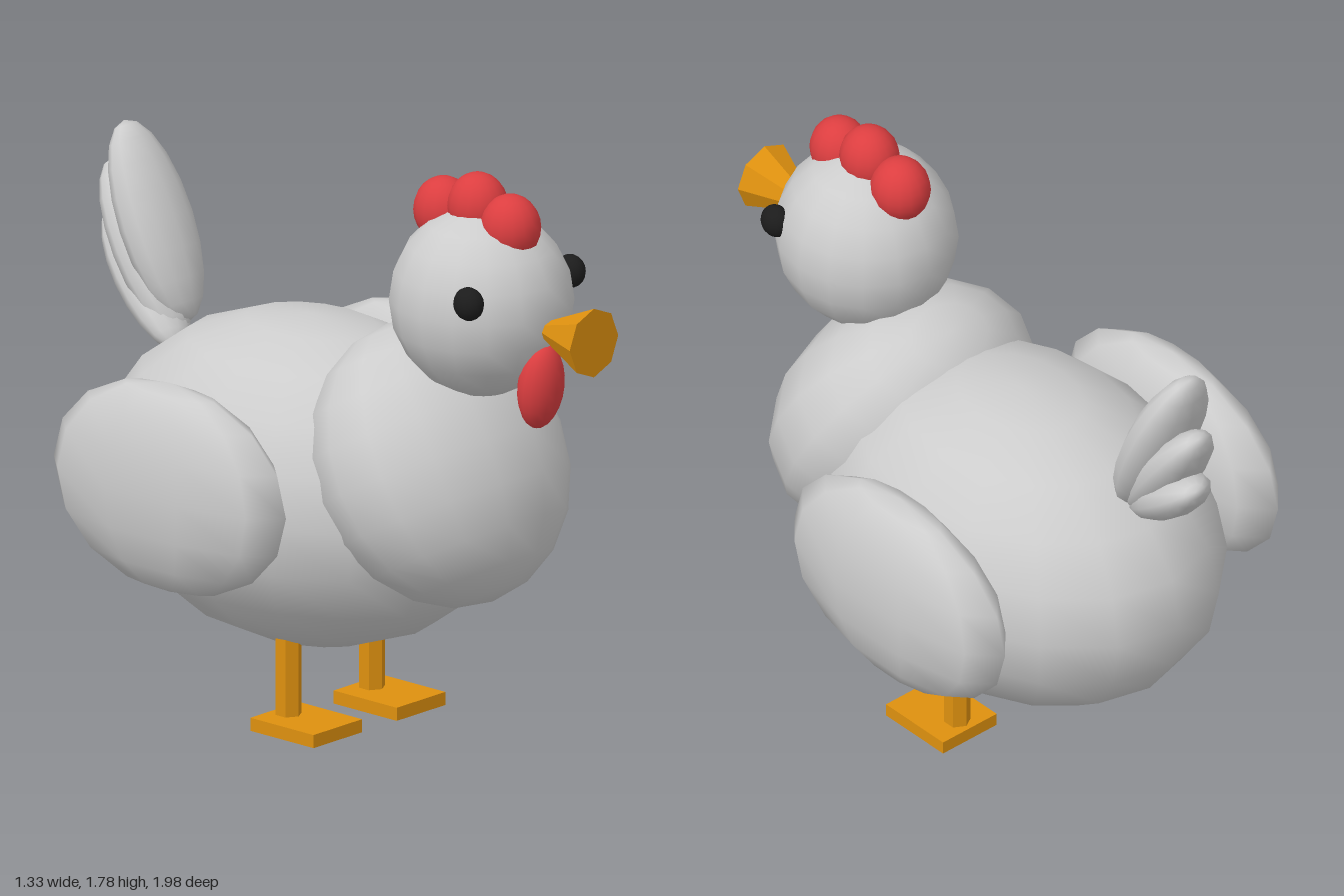
import * as THREE from 'three';

const mat = (name, color, flatShading = false) => {
  const m = new THREE.MeshStandardMaterial({ color, flatShading });
  m.name = name;
  return m;
};

export function createModel() {
  const group = new THREE.Group();
  const feathers = mat('featherGrey', 0xcccccc);
  const red = mat('combRed', 0xdc3e40);
  const orange = mat('beakOrange', 0xdd900f, true);
  const black = mat('eyeBlack', 0x1c1c1c);

  const add = (name, geometry, material, pos, rot = [0, 0, 0]) => {
    const mesh = new THREE.Mesh(geometry, material);
    mesh.name = name;
    mesh.position.set(...pos);
    mesh.rotation.set(...rot);
    group.add(mesh);
    return mesh;
  };
  // Low-poly ellipsoid given by its half sizes
  const ball = (name, material, pos, half, rot, w = 16, h = 10) =>
    add(name, new THREE.SphereGeometry(1, w, h).scale(...half), material, pos, rot);

  // Body, breast and head
  ball('body', feathers, [0, 0.715, -0.12], [0.52, 0.495, 0.7]);
  ball('breast', feathers, [0, 0.86, 0.39], [0.43, 0.435, 0.32], [-0.5, 0, 0], 14, 10);
  ball('head', feathers, [0, 1.395, 0.555], [0.265, 0.285, 0.278]);

  // Comb: three lobes over the crown
  [[1.64, 0.67], [1.68, 0.54], [1.64, 0.405]].forEach(([y, z], i) =>
    ball('combLobe' + (i + 1), red, [0, y, z], [0.087, 0.1, 0.092], [0, 0, 0], 16, 12));
  ball('wattle', red, [0, 1.18, 0.79], [0.077, 0.132, 0.062], [0.12, 0, 0], 16, 12);

  // Beak, flaring outward to the front
  add('beak', new THREE.ConeGeometry(0.105, 0.25, 8), orange, [0, 1.355, 0.875], [-Math.PI / 2, 0, 0]);

  // Tail: three feathers fanned backward and to one side
  [
    { pos: [0, 1.36, -0.735], half: [0.135, 0.31, 0.08], tilt: 0.42, lean: 0 },
    { pos: [0, 1.27, -0.775], half: [0.115, 0.29, 0.075], tilt: 0.65, lean: 0.15 },
    { pos: [0, 1.18, -0.775], half: [0.105, 0.27, 0.07], tilt: 0.9, lean: 0.3 },
  ].forEach((f, i) =>
    ball('tailFeather' + (i + 1), feathers, f.pos, f.half, [-f.tilt, 0, -f.lean], 12, 10));

  // Paired parts
  for (const [side, s] of [['left', 1], ['right', -1]]) {
    ball(side + 'Wing', feathers, [s * 0.535, 0.785, -0.19], [0.46, 0.32, 0.137],
      [0, Math.PI / 2, 0], 10, 8);
    ball(side + 'Eye', black, [s * 0.22, 1.463, 0.705], [0.041, 0.05, 0.049]);
    add(side + 'Leg', new THREE.CylinderGeometry(0.04, 0.04, 0.36, 6), orange, [s * 0.18, 0.2, -0.045]);
    add(side + 'Foot', new THREE.BoxGeometry(0.21, 0.04, 0.25), orange, [s * 0.18, 0.02, 0.025]);
  }
  return group;
}
